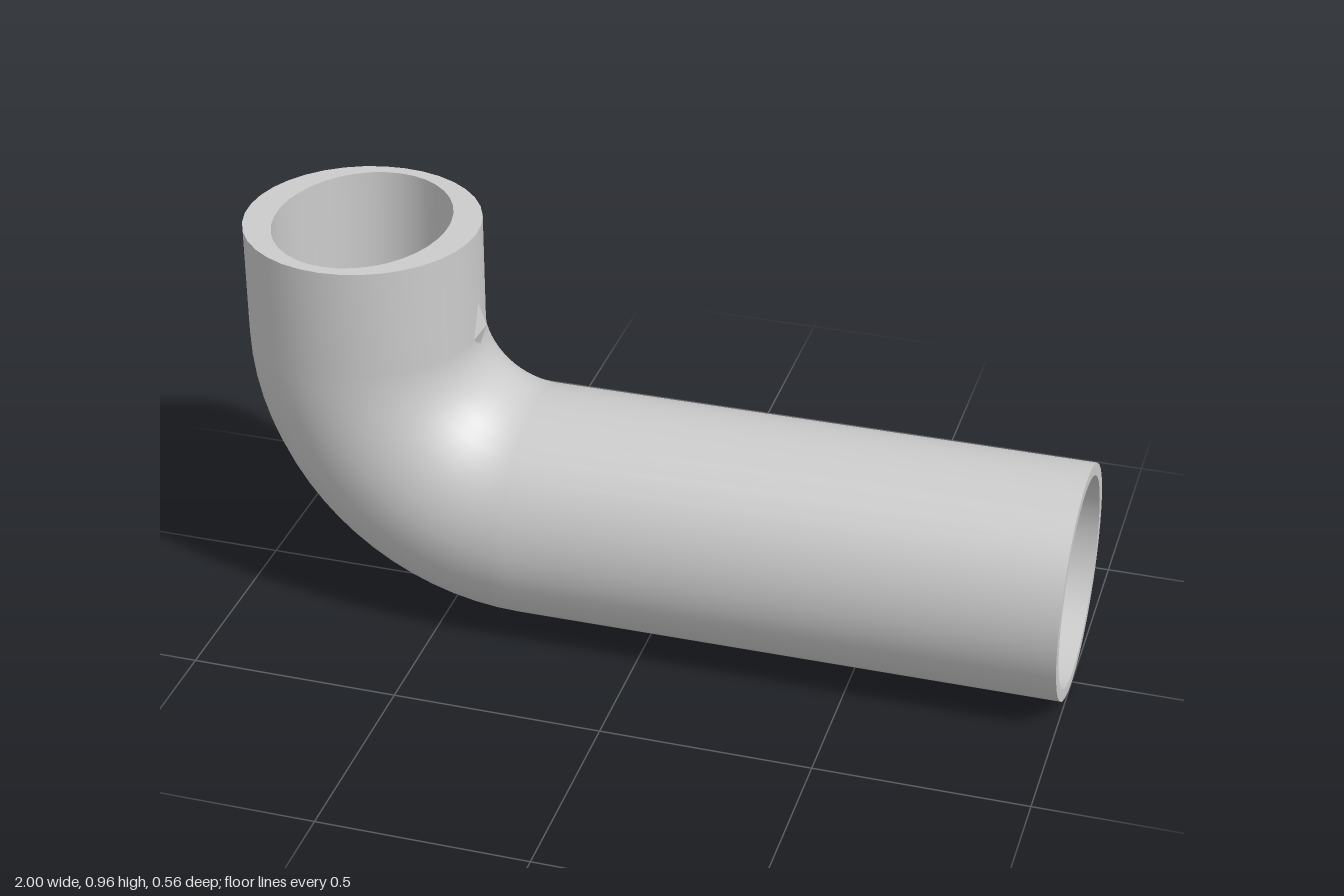
import * as THREE from 'three';
import { ConvexGeometry } from 'three/addons/geometries/ConvexGeometry.js';

const SIDES = 36, BEND_STEPS = 18;
const OUTER = 0.278, INNER = 0.249, INNER_TOP = 0.205;
const BEND = { x: -0.3, y: 0.7, r: 0.422 };

// Centre line from the open side end, round the bend, up to the top end
function stations() {
  const list = [{ x: 1, y: BEND.y - BEND.r, a: 0, k: 0 }];
  for (let i = 0; i <= BEND_STEPS; i++) {
    const k = i / BEND_STEPS, a = k * Math.PI / 2;
    list.push({ x: BEND.x - Math.sin(a) * BEND.r, y: BEND.y - Math.cos(a) * BEND.r, a, k });
  }
  list.push({ x: BEND.x - BEND.r, y: 0.963, a: Math.PI / 2, k: 1 });
  return list;
}

// Elliptical ring square to the centre line: rn in the bend plane, rz across it
function ring(s, rn, rz) {
  const points = [];
  for (let j = 0; j < SIDES; j++) {
    const t = j / SIDES * Math.PI * 2, d = rn * Math.cos(t);
    points.push([s.x - Math.sin(s.a) * d, s.y - Math.cos(s.a) * d, rz * Math.sin(t)]);
  }
  return points;
}

// Skin over successive rings
function loft(rings, flip = false) {
  const index = [];
  for (let i = 0; i < rings.length - 1; i++) {
    for (let j = 0; j < SIDES; j++) {
      const a = i * SIDES + j, b = i * SIDES + (j + 1) % SIDES;
      const c = a + SIDES, d = b + SIDES;
      if (flip) index.push(a, c, b, b, c, d);
      else index.push(a, b, c, b, d, c);
    }
  }
  const geometry = new THREE.BufferGeometry();
  geometry.setAttribute('position', new THREE.Float32BufferAttribute(rings.flat(2), 3));
  geometry.setIndex(index);
  geometry.computeVertexNormals();
  return geometry;
}

export function createModel() {
  const group = new THREE.Group();
  group.name = 'elbowPipe';
  const material = new THREE.MeshStandardMaterial({ color: 0xcccccc });
  const add = (name, geometry, mat = material) => {
    const mesh = new THREE.Mesh(geometry, mat);
    mesh.name = name;
    group.add(mesh);
  };

  // The bore narrows to an oval through the bend
  const path = stations();
  const outer = path.map(s => ring(s, OUTER, OUTER));
  const inner = path.map(s => ring(s, THREE.MathUtils.lerp(INNER, INNER_TOP, s.k), INNER));
  const last = path.length - 1;

  add('outerWall', loft(outer));
  add('innerWall', loft(inner, true));
  add('sideRim', loft([inner[0], outer[0]]));
  add('topRim', loft([outer[last], inner[last]]));

  // Small pointed nub on the inside of the elbow
  const nub = [
    [-0.425, 0.73, 0], [-0.446, 0.79, 0], [-0.443, 0.675, 0],
    [-0.447, 0.7, 0.03], [-0.447, 0.7, -0.03], [-0.47, 0.72, 0],
  ].map(p => new THREE.Vector3(...p));
  const flat = material.clone();
  flat.flatShading = true;
  add('nub', new ConvexGeometry(nub), flat);

  return group;
}
